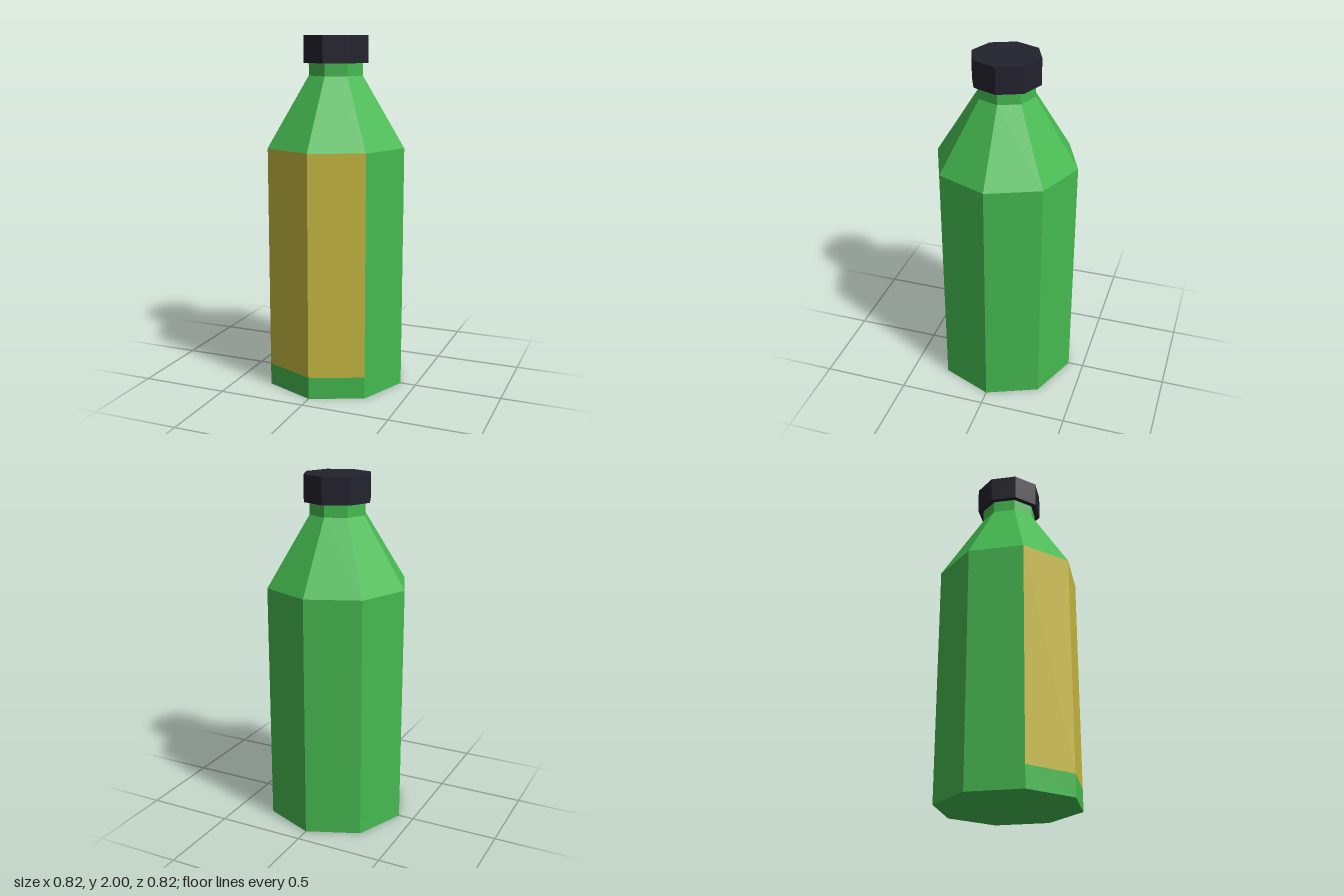
import * as THREE from 'three';

const SIDES = 8;
const R = 0.41, LABEL_BOTTOM = 0.125, LABEL_TOP = 1.385;
const NECK_R = 0.163, NECK_BOTTOM = 1.78, CAP_BOTTOM = 1.85;

const material = (color) => new THREE.MeshStandardMaterial({ color, flatShading: true });

export function createModel() {
  const bottle = new THREE.Group();
  bottle.name = 'bottle';
  const glass = material(0x45ba50);
  const paper = material(0xc8b940);
  const plastic = material(0x23222e);

  // Faceted shell from [radius, height] points, spanning a number of sides
  function addShell(name, mat, profile, firstSide = 0, sides = SIDES) {
    const step = (Math.PI * 2) / SIDES;
    const points = profile.map(([r, y]) => new THREE.Vector2(r, y));
    const geometry = new THREE.LatheGeometry(points, sides, firstSide * step, sides * step);
    const mesh = new THREE.Mesh(geometry, mat);
    mesh.name = name;
    bottle.add(mesh);
  }

  // Closed base with the band under the label
  addShell('base', glass, [[0, 0], [R, 0], [R, LABEL_BOTTOM]]);

  // Label covers the two front sides, glass the other six
  const wall = [[R, LABEL_BOTTOM], [R, LABEL_TOP]];
  addShell('label', paper, wall, -1, 2);
  addShell('body', glass, wall, 1, 6);

  // Sloping shoulder and short straight neck
  addShell('shoulder', glass, [[R, LABEL_TOP], [NECK_R, NECK_BOTTOM]]);
  addShell('neck', glass, [[NECK_R, NECK_BOTTOM], [NECK_R, CAP_BOTTOM]]);

  // Solid cap overhanging the neck
  const cap = new THREE.Mesh(
    new THREE.CylinderGeometry(0.194, 0.194, 2 - CAP_BOTTOM, SIDES), plastic);
  cap.name = 'cap';
  cap.position.y = (2 + CAP_BOTTOM) / 2;
  bottle.add(cap);

  return bottle;
}
